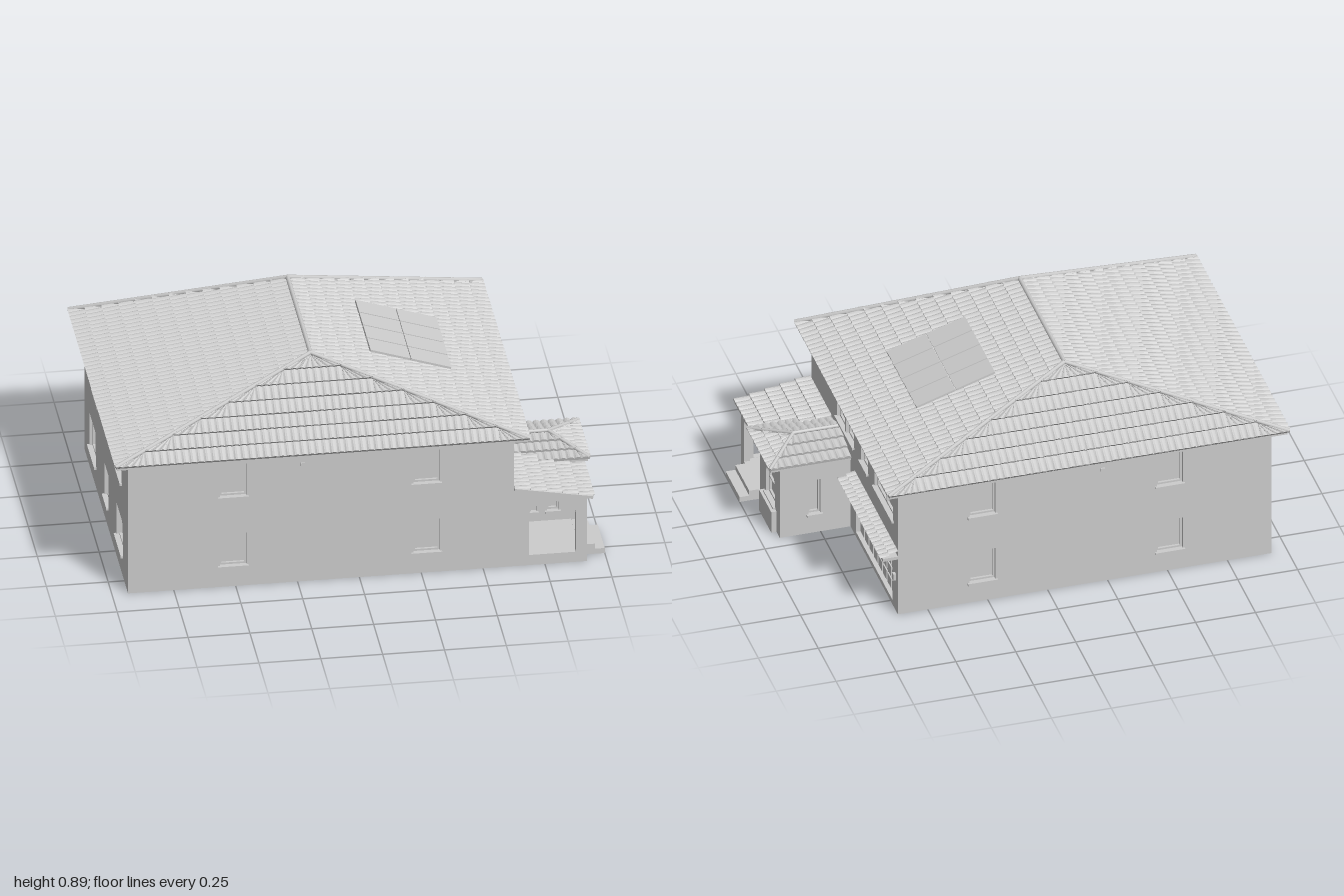
import * as THREE from 'three';

const grey = new THREE.MeshStandardMaterial({ color: 0xcccccc, side: THREE.DoubleSide });
grey.name = 'plaster grey';
const V = (x, y, z) => new THREE.Vector3(x, y, z);

function add(parent, name, geo, x = 0, y = 0, z = 0) {
  const m = new THREE.Mesh(geo, grey);
  m.name = name;
  m.position.set(x, y, z);
  parent.add(m);
  return m;
}
const box = (p, name, w, h, d, x, y, z) => add(p, name, new THREE.BoxGeometry(w, h, d), x, y, z);
// box given by its min and max corners
const span = (p, name, x0, x1, y0, y1, z0, z1) =>
  box(p, name, x1 - x0, y1 - y0, z1 - z0, (x0 + x1) / 2, (y0 + y1) / 2, (z0 + z1) / 2);

// outline of an opening, with an optional elliptical arch of height rise
function outline(path, u, y, w, h, rise) {
  path.moveTo(u - w / 2, y);
  path.lineTo(u + w / 2, y);
  path.lineTo(u + w / 2, y + h - rise);
  if (rise) path.absellipse(u, y + h - rise, w / 2, rise, 0, Math.PI, false);
  else path.lineTo(u - w / 2, y + h);
  path.lineTo(u - w / 2, y);
  return path;
}

// wall from u0 to u1 facing local +z, with openings, frames, panes and sills
const T = 0.025;
function wall(parent, name, u0, u1, hL, hR, openings) {
  const g = new THREE.Group();
  g.name = name;
  parent.add(g);
  const s = new THREE.Shape([[u0, 0], [u1, 0], [u1, hR], [u0, hL]].map(p => new THREE.Vector2(...p)));
  for (const o of openings) s.holes.push(outline(new THREE.Path(), o.u, o.y, o.w, o.h, o.rise || 0));
  add(g, 'wall', new THREE.ExtrudeGeometry(s, { depth: T, bevelEnabled: false, curveSegments: 10 }), 0, 0, -T);
  for (const { u, y, w, h, rise = 0, kind = 'window', split = 0, bar = 0 } of openings) {
    if (kind === 'open') continue;
    add(g, 'pane', new THREE.ShapeGeometry(outline(new THREE.Shape(), u, y, w, h, rise), 10), 0, 0, -T + 0.003);
    if (kind === 'garage') {
      // raised panels
      const cols = 8, rows = 4, cw = w / cols, ch = h / rows;
      for (let i = 0; i < cols; i++) for (let j = 0; j < rows; j++)
        box(g, 'garageDoorPanel', cw - 0.012, ch - 0.012, 0.006, u - w / 2 + (i + 0.5) * cw, y + (j + 0.5) * ch, -T + 0.006);
      continue;
    }
    const f = 0.008;
    const ring = outline(new THREE.Shape(), u, y, w, h, rise);
    ring.holes.push(outline(new THREE.Path(), u, y + f, w - 2 * f, h - 2 * f, Math.max(0, rise - f / 2)));
    add(g, 'frame', new THREE.ExtrudeGeometry(ring, { depth: 0.01, bevelEnabled: false, curveSegments: 10 }), 0, 0, -T + 0.003);
    if (split) box(g, 'mullion', 0.01, h, 0.01, u, y + h / 2, -T + 0.008);
    if (bar) box(g, 'glazingBar', w, 0.006, 0.01, u, y + h / 2, -T + 0.008);
    if (kind === 'window') box(g, 'sill', w + 0.016, 0.01, T + 0.01, u, y - 0.005, 0.01 - (T + 0.01) / 2);
    if (kind === 'door') {
      box(g, 'doorLeaf', w * 0.66, h - 0.03, 0.008, u, y + h / 2 - 0.005, -T + 0.008);
      add(g, 'doorKnob', new THREE.SphereGeometry(0.005, 8, 6), u + w * 0.25, y + h * 0.45, -T + 0.015);
    }
  }
  return g;
}

// tiled slope: a, b are eave corners left to right, c, d the top corners above b, a
function tiles(parent, name, a, b, c, d, courses, pitch = 0.03, rib = 0.008, step = 0.009) {
  const e = b.clone().sub(a), width = e.length();
  e.normalize();
  const up = d.clone().sub(a), uD = up.dot(e), uC = c.clone().sub(a).dot(e);
  up.addScaledVector(e, -uD);
  const n = e.clone().cross(up).normalize();
  const cols = Math.round(width / pitch) * 4, du = width / cols;
  const rows = [[0, 0, 0]];
  for (let i = 0; i < courses; i++) {
    rows.push([i / courses, step, 1]);
    rows.push([(i + 1) / courses, 0, 0.6]);
  }
  const pos = [], idx = [];
  rows.forEach(([v, h, k], r) => {
    for (let j = 0; j <= cols; j++) {
      const u = THREE.MathUtils.clamp(j * du, uD * v, width + (uC - width) * v);
      const lift = h + k * rib * Math.abs(Math.sin(j * Math.PI / 4));
      const p = a.clone().addScaledVector(e, u).addScaledVector(up, v).addScaledVector(n, lift);
      pos.push(p.x, p.y, p.z);
      if (r && j) {
        const q = r * (cols + 1) + j, o = q - cols - 1;
        idx.push(o - 1, o, q, o - 1, q, q - 1);
      }
    }
  });
  let geo = new THREE.BufferGeometry();
  geo.setAttribute('position', new THREE.Float32BufferAttribute(pos, 3));
  geo.setIndex(idx);
  geo = geo.toNonIndexed();
  geo.computeVertexNormals();
  add(parent, name, geo);
}

// round cap along a ridge or hip
function cap(parent, name, a, b, r) {
  const dir = b.clone().sub(a);
  const m = add(parent, name, new THREE.CylinderGeometry(r, r, dir.length(), 8));
  m.position.copy(a).add(b).multiplyScalar(0.5);
  m.quaternion.setFromUnitVectors(V(0, 1, 0), dir.normalize());
}

export function createModel() {
  const house = new THREE.Group();
  house.name = 'house';
  const X0 = -0.935, X1 = 0.625, Z = 0.605, H = 0.6;

  // long walls with four matching windows each
  for (const side of [1, -1]) {
    const list = [];
    for (const x of [-0.51, 0.272]) for (const y of [0.095, 0.41])
      list.push({ u: x * side, y, w: 0.108, h: 0.146 });
    const w = wall(house, side > 0 ? 'frontWall' : 'backWall', side > 0 ? X0 : -X1, side > 0 ? X1 : -X0, H, H, list);
    w.position.z = Z * side;
    if (side < 0) w.rotation.y = Math.PI;
    box(w, 'vent', 0.018, 0.014, 0.006, -0.23 * side, 0.535, 0.003);
  }

  // garden end wall
  const left = wall(house, 'leftWall', -Z, Z, H, H, [
    { u: -0.37, y: 0.095, w: 0.18, h: 0.146, split: 1 },
    { u: 0.005, y: 0.095, w: 0.11, h: 0.146 },
    { u: 0.37, y: 0.095, w: 0.18, h: 0.146, split: 1 },
    { u: -0.28, y: 0.41, w: 0.14, h: 0.146 },
    { u: 0.37, y: 0.41, w: 0.12, h: 0.146 }]);
  left.position.x = X0;
  left.rotation.y = -Math.PI / 2;
  box(left, 'vent', 0.018, 0.014, 0.006, 0.04, 0.535, 0.003);

  // entrance end wall
  const right = wall(house, 'entranceWall', -Z, Z, H, H, [
    { u: -0.192, y: 0.41, w: 0.114, h: 0.155, rise: 0.05 },
    { u: -0.067, y: 0.41, w: 0.106, h: 0.155, rise: 0.05 },
    { u: 0.136, y: 0.41, w: 0.098, h: 0.144 },
    { u: 0.409, y: 0.41, w: 0.262, h: 0.144, split: 1 },
    { u: 0.272, y: 0.022, w: 0.51, h: 0.225, kind: 'garage' },
    { u: -0.422, y: 0.046, w: 0.135, h: 0.225, kind: 'door' }]);
  right.position.x = X1;
  right.rotation.y = Math.PI / 2;
  box(right, 'wallLamp', 0.018, 0.03, 0.012, 0.573, 0.163, 0.006);

  // main hip roof
  const ex0 = -0.993, ex1 = 0.68, ez = 0.66, ey = 0.603, ry = 0.873, rx = -0.156, rz = 0.315;
  const A = V(ex0, ey, ez), B = V(ex1, ey, ez), C = V(ex1, ey, -ez), D = V(ex0, ey, -ez);
  const R1 = V(rx, ry, rz), R2 = V(rx, ry, -rz);
  tiles(house, 'roofFront', A, B, R1, R1, 7);
  tiles(house, 'roofRight', B, C, R2, R1, 13);
  tiles(house, 'roofBack', C, D, R2, R2, 7);
  tiles(house, 'roofLeft', D, A, R1, R2, 13);
  const lift = V(0, 0.008, 0);
  for (const [p, q] of [[A, R1], [B, R1], [C, R2], [D, R2], [R1, R2]])
    cap(house, 'ridgeCap', p.clone().add(lift), q.clone().add(lift), 0.009);

  // eaves board around the wall tops
  const rect = (S, x0, x1, z) => new S([[x0, -z], [x1, -z], [x1, z], [x0, z]].map(p => new THREE.Vector2(...p)));
  const eaves = rect(THREE.Shape, ex0 + 0.006, ex1 - 0.006, ez - 0.006);
  eaves.holes.push(rect(THREE.Path, X0 + T, X1 - T, Z - T));
  add(house, 'eaves', new THREE.ExtrudeGeometry(eaves, { depth: 0.012, bevelEnabled: false }), 0, 0.603, 0).rotation.x = Math.PI / 2;

  // solar panels on the entrance slope
  const solar = new THREE.Group();
  solar.name = 'solarPanels';
  solar.position.set(0.265, 0.757, 0);
  solar.rotation.z = -Math.atan2(ry - ey, ex1 - rx);
  house.add(solar);
  for (let i = 0; i < 4; i++) for (let j = 0; j < 2; j++)
    box(solar, 'solarPanel', 0.17, 0.009, 0.1, (j - 0.5) * 0.173, 0, (i - 1.5) * 0.106);

  // garage canopy
  tiles(house, 'garageCanopy', V(0.695, 0.277, 0), V(0.695, 0.277, -0.61), V(X1, 0.306, -0.61), V(X1, 0.306, 0), 2);
  span(house, 'garageCanopyBoard', X1, 0.688, 0.264, 0.278, -0.607, -0.003);

  // bay
  const BX = 0.92, BZ0 = 0.06, BZ1 = 0.33;
  const bayFront = wall(house, 'bayFront', -BZ1, -BZ0, 0.335, 0.335,
    [{ u: -0.192, y: 0.105, w: 0.123, h: 0.145, rise: 0.05, bar: 1 }]);
  bayFront.position.x = BX;
  bayFront.rotation.y = Math.PI / 2;
  const bayBack = wall(house, 'bayGarageSide', -BX, -X1, 0.335, 0.335,
    [{ u: -0.775, y: 0.09, w: 0.05, h: 0.16 }]);
  bayBack.position.z = BZ0;
  bayBack.rotation.y = Math.PI;
  const bayPorch = wall(house, 'bayPorchSide', X1, BX, 0.335, 0.335, [0.732, 0.822].map(u =>
    ({ u, y: 0.09, w: 0.048, h: 0.16, rise: 0.022 })));
  bayPorch.position.z = BZ1;
  const bx = 0.965, by = 0.333, bt = 0.382, zm = 0.21, z0 = 0.05, z1 = 0.368;
  const P = V(bx, by, z1), Q = V(bx, by, z0), K = V(0.82, bt, zm), L = V(X1, bt, zm);
  tiles(house, 'bayRoofFront', P, Q, K, K, 3);
  tiles(house, 'bayRoofPorchSide', V(X1, by, z1), P, K, L, 3);
  tiles(house, 'bayRoofGarageSide', Q, V(X1, by, z0), L, K, 3);
  for (const [p, q] of [[P, K], [Q, K], [L, K]])
    cap(house, 'bayRidgeCap', p.clone().add(lift), q.clone().add(lift), 0.008);
  span(house, 'bayEaves', X1, bx - 0.006, 0.322, 0.334, z0 + 0.005, z1 - 0.005);
  span(house, 'planter', BX, 0.942, 0, 0.098, 0.105, 0.278);

  // porch with arches on two sides
  const porchFront = wall(house, 'porchFrontArch', X1, BX, 0.36, 0.308,
    [{ u: 0.78, y: 0.046, w: 0.19, h: 0.238, rise: 0.06, kind: 'open' }]);
  porchFront.position.z = Z;
  const porchSide = wall(house, 'porchEntranceArch', -Z, -BZ1, 0.308, 0.308,
    [{ u: -0.449, y: 0.046, w: 0.228, h: 0.238, rise: 0.06, kind: 'open' }]);
  porchSide.position.x = BX;
  porchSide.rotation.y = Math.PI / 2;
  span(house, 'porchFloor', X1, BX, 0, 0.045, BZ1, Z - 0.002);
  tiles(house, 'porchRoof', V(0.945, 0.305, 0.627), V(0.945, 0.305, 0.325), V(X1, 0.364, 0.325), V(X1, 0.364, 0.627), 5);
  const board = box(house, 'porchRoofBoard', 0.322, 0.012, 0.298, 0.784, 0.328, 0.476);
  board.rotation.z = -Math.atan2(0.059, 0.32);

  // entrance steps
  span(house, 'lowerStep', BX, 1, 0, 0.023, 0.355, 0.55);
  span(house, 'upperStep', BX, 0.96, 0.023, 0.046, 0.355, 0.55);

  return house;
}
